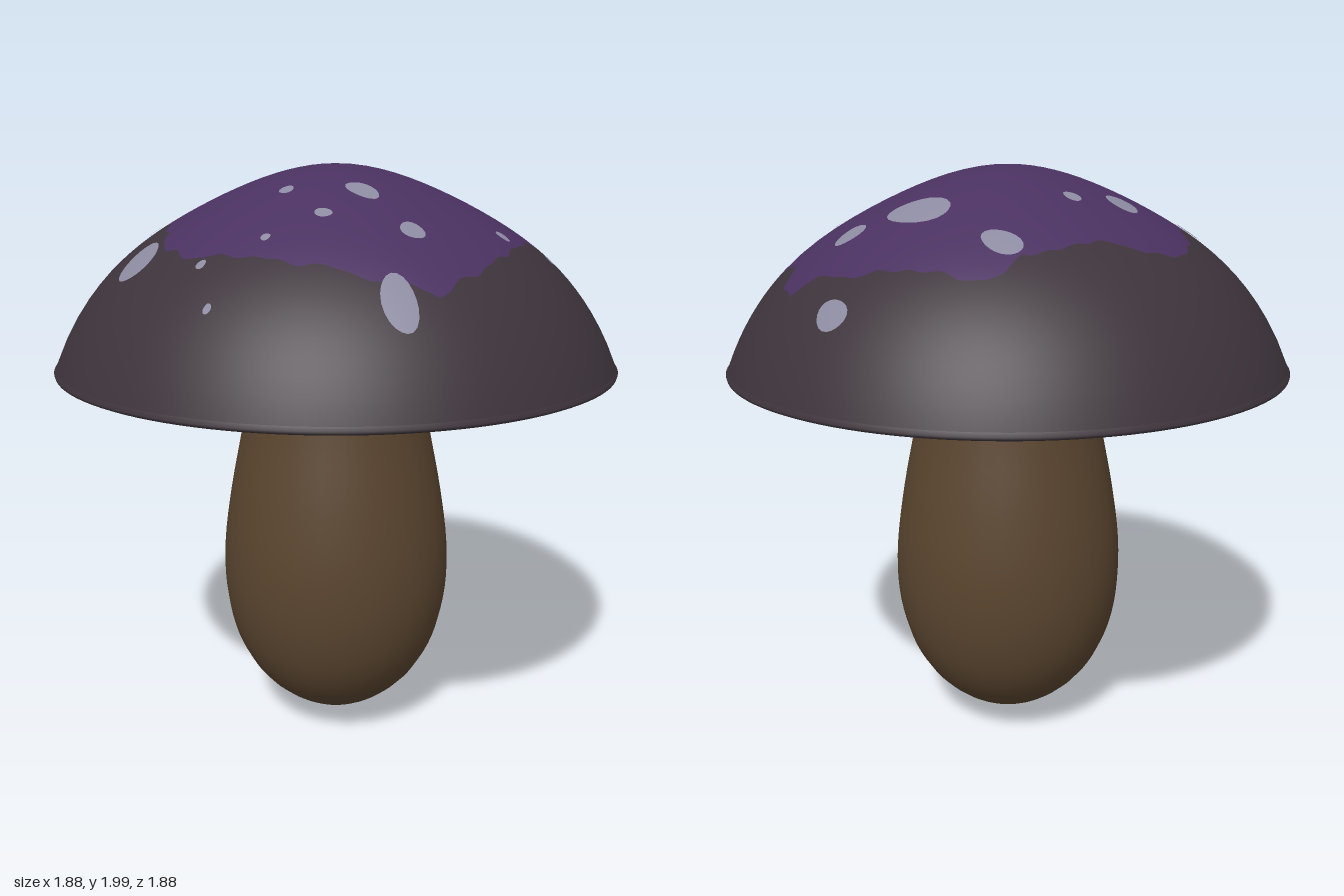
import * as THREE from 'three';

const RIM = 0.93;

// Height of the cap at distance r from its axis
const capHeight = (r) => 1 + Math.sqrt(1 - r * r) - 0.03 * Math.sin((Math.PI * r) / RIM) ** 2;

// Outward normal of the cap at (x, z)
function capNormal(x, z) {
  const r = Math.hypot(x, z);
  if (r < 1e-4) return new THREE.Vector3(0, 1, 0);
  const slope = (capHeight(r + 1e-3) - capHeight(r - 1e-3)) / 2e-3;
  return new THREE.Vector3((-slope * x) / r, 1, (-slope * z) / r).normalize();
}

// Grid lying on the cap: place(u, angle) gives [x, z], u runs outwards
function onCap(place, rings, sides, lift = 0) {
  const positions = [], normals = [], index = [];
  for (let i = 0; i <= rings; i++) {
    for (let j = 0; j <= sides; j++) {
      const [x, z] = place(i / rings, (j / sides) * Math.PI * 2);
      const n = capNormal(x, z);
      const p = new THREE.Vector3(x, capHeight(Math.hypot(x, z)), z).addScaledVector(n, lift);
      positions.push(p.x, p.y, p.z);
      normals.push(n.x, n.y, n.z);
      if (i < rings && j < sides) {
        const a = i * (sides + 1) + j, c = a + sides + 1;
        index.push(a, a + 1, c, a + 1, c + 1, c);
      }
    }
  }
  const g = new THREE.BufferGeometry();
  g.setAttribute('position', new THREE.Float32BufferAttribute(positions, 3));
  g.setAttribute('normal', new THREE.Float32BufferAttribute(normals, 3));
  g.setIndex(index);
  return g;
}

// Ragged edge of the purple crown, as x, z points
const EDGE = [
  [-0.27, -0.6], [-0.22, -0.64], [0, -0.65], [0.2, -0.66], [0.35, -0.62], [0.42, -0.64],
  [0.49, -0.58], [0.5, -0.47], [0.64, -0.4], [0.64, -0.2], [0.62, 0], [0.6, 0.2],
  [0.57, 0.35], [0.53, 0.45], [0.48, 0.56], [0.4, 0.57], [0.33, 0.61], [0.2, 0.62],
  [0.05, 0.63], [-0.1, 0.61], [-0.25, 0.59], [-0.37, 0.5], [-0.43, 0.38], [-0.46, 0.28],
  [-0.53, 0.2], [-0.56, 0.1], [-0.63, -0.05], [-0.6, -0.2], [-0.47, -0.31], [-0.4, -0.38],
  [-0.37, -0.45], [-0.28, -0.52],
].map(([x, z]) => ({ a: (Math.atan2(z, x) + Math.PI * 2) % (Math.PI * 2), r: Math.hypot(x, z) }))
  .sort((p, q) => p.a - q.a);

function edgeRadius(angle) {
  const full = Math.PI * 2, t = angle % full, n = EDGE.length;
  let k = EDGE.findIndex((p) => p.a > t);
  if (k < 0) k = n;
  const p = EDGE[(k - 1 + n) % n], q = EDGE[k % n];
  const span = (q.a - p.a + full) % full;
  const f = ((t - p.a + full) % full) / span;
  return p.r + (q.r - p.r) * f + 0.006 * Math.sin(t * 23) + 0.004 * Math.sin(t * 41);
}

// Pale spots: x, z, half width, half depth, turn
const SPOTS = [
  [0.19, -0.76, 0.058, 0.033, 0.35], [-0.215, -0.505, 0.065, 0.042, 0.1],
  [0.1, -0.41, 0.105, 0.066, 0.08], [0.305, -0.47, 0.048, 0.043, -0.5],
  [0.51, -0.25, 0.021, 0.021, 0], [0.62, -0.18, 0.02, 0.027, 0],
  [0.695, -0.055, 0.015, 0.015, 0], [0.57, 0.115, 0.022, 0.02, 0],
  [-0.295, -0.18, 0.028, 0.025, 0], [-0.405, -0.04, 0.05, 0.05, 0],
  [-0.55, 0.2, 0.036, 0.038, 0], [-0.465, 0.49, 0.062, 0.077, -0.4],
  [-0.055, 0.31, 0.022, 0.024, 0], [0.17, 0.265, 0.058, 0.038, 0.4],
  [0.355, 0.385, 0.037, 0.035, 0], [0.1, 0.425, 0.027, 0.021, 0],
  [-0.03, 0.55, 0.014, 0.014, 0], [-0.195, 0.63, 0.015, 0.015, 0],
  [0.385, 0.635, 0.05, 0.07, -0.6], [-0.12, 0.76, 0.012, 0.012, 0],
];

const lathe = (points, sides) =>
  new THREE.LatheGeometry(points.map(([x, y]) => new THREE.Vector2(x, y)), sides);

export function createModel() {
  const model = new THREE.Group();
  model.name = 'mushroom';
  const material = (name, color) => {
    const m = new THREE.MeshStandardMaterial({ color });
    m.name = name;
    return m;
  };
  const dark = material('dark cap', 0x3d343b);
  const purple = material('purple crown', 0x4a3160);
  const pale = material('pale spots', 0x8c8aa0);
  const brown = material('brown stem', 0x5a452f);
  const add = (name, geometry, mat, parent = model) => {
    const mesh = new THREE.Mesh(geometry, mat);
    mesh.name = name;
    parent.add(mesh);
    return mesh;
  };

  // Bulbous stem, pointed at the foot and flaring under the cap
  const stemCurve = new THREE.SplineCurve([
    [0, 0.01], [0.1, 0.065], [0.21, 0.135], [0.3, 0.23], [0.365, 0.36], [0.398, 0.52],
    [0.398, 0.7], [0.37, 0.9], [0.33, 1.1], [0.312, 1.2], [0.297, 1.29], [0.315, 1.325], [0.38, 1.337],
  ].map(([x, y]) => new THREE.Vector2(x, y)));
  add('stem', new THREE.LatheGeometry(stemCurve.getPoints(48), 32), brown);

  // Flat underside and thin rounded rim
  add('capUnderside', lathe([[0.34, 1.333], [0.65, 1.337], [0.925, 1.343]], 120), brown);
  add('capRim', lathe([[0.925, 1.343], [0.936, 1.348], [0.938, 1.356], [RIM, capHeight(RIM)]], 120), dark);

  // Dome: purple crown and dark skirt share the ragged edge
  const polar = (r, a) => [r * Math.cos(a), r * Math.sin(a)];
  add('crown', onCap((u, a) => polar(u * edgeRadius(a), a), 14, 240), purple);
  add('capSkirt', onCap((u, a) => {
    const r = edgeRadius(a);
    return polar(r + (RIM - r) * u, a);
  }, 10, 240), dark);

  // Spots hugging the dome
  const spots = new THREE.Group();
  spots.name = 'spots';
  model.add(spots);
  SPOTS.forEach(([x, z, w, d, turn], i) => {
    const c = Math.cos(turn), s = Math.sin(turn);
    add('spot' + (i + 1), onCap((u, a) => {
      const wobble = 1 + 0.04 * Math.sin(3 * a + i);
      const px = u * w * wobble * Math.cos(a), pz = u * d * wobble * Math.sin(a);
      return [x + px * c - pz * s, z + px * s + pz * c];
    }, 3, 20, 0.004), pale, spots);
  });
  return model;
}
